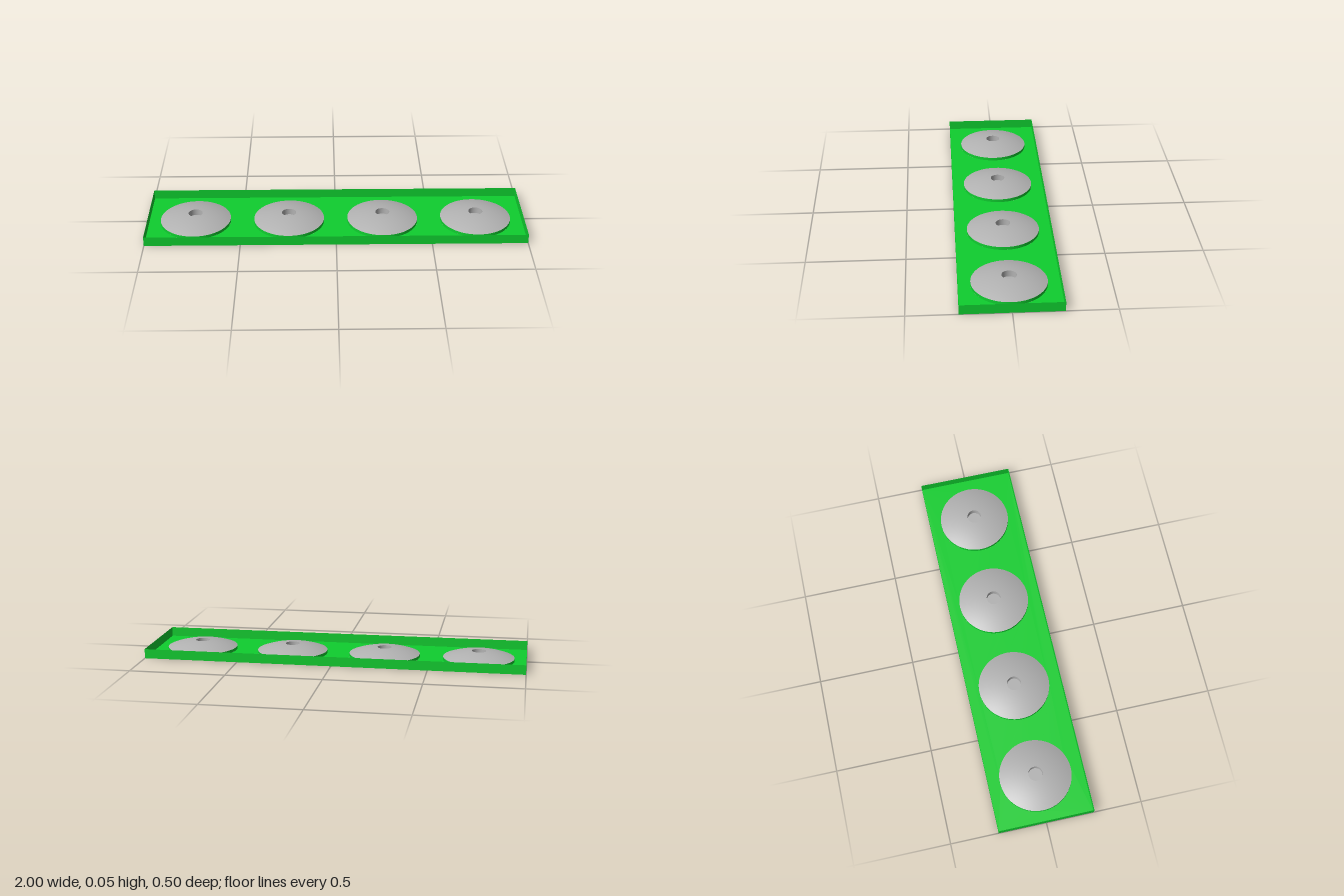
import * as THREE from 'three';

const LENGTH = 2, WIDTH = 0.5, HEIGHT = 0.05;
const DISC_R = 0.1875, RIM_Y = 0.0167, HOLE_R = 0.0375, SEG = 64;
const CENTRES = [-0.75, -0.25, 0.25, 0.75];

export function createModel() {
  const group = new THREE.Group();
  group.name = 'tray';

  const green = new THREE.MeshStandardMaterial({ color: 0x0fce2f, side: THREE.DoubleSide });
  green.name = 'green';
  const grey = new THREE.MeshStandardMaterial({ color: 0xb2b2b2, side: THREE.DoubleSide });
  grey.name = 'grey';

  const add = (name, geometry, material, x = 0, y = 0, z = 0, turn = 0) => {
    const mesh = new THREE.Mesh(geometry, material);
    mesh.name = name;
    mesh.position.set(x, y, z);
    mesh.rotation.y = turn;
    group.add(mesh);
  };

  // Thin floor with four round openings
  const floor = new THREE.Shape();
  floor.moveTo(-LENGTH / 2, -WIDTH / 2);
  floor.lineTo(LENGTH / 2, -WIDTH / 2);
  floor.lineTo(LENGTH / 2, WIDTH / 2);
  floor.lineTo(-LENGTH / 2, WIDTH / 2);
  floor.closePath();
  for (const x of CENTRES) {
    floor.holes.push(new THREE.Path().absarc(x, 0, DISC_R, 0, Math.PI * 2, true));
  }
  add('floor', new THREE.ShapeGeometry(floor, SEG).rotateX(-Math.PI / 2), green);

  // Thin walls around the open top
  const longWall = new THREE.PlaneGeometry(LENGTH, HEIGHT);
  const endWall = new THREE.PlaneGeometry(WIDTH, HEIGHT);
  add('frontWall', longWall, green, 0, HEIGHT / 2, WIDTH / 2);
  add('backWall', longWall, green, 0, HEIGHT / 2, -WIDTH / 2, Math.PI);
  add('leftWall', endWall, green, LENGTH / 2, HEIGHT / 2, 0, Math.PI / 2);
  add('rightWall', endWall, green, -LENGTH / 2, HEIGHT / 2, 0, -Math.PI / 2);

  // Shallow dome profile, from the rim up to the central well
  const R = 0.52;
  const base = HEIGHT - Math.sqrt(R * R - HOLE_R * HOLE_R);
  const profile = [];
  for (let i = 0; i <= 10; i++) {
    const r = DISC_R + (HOLE_R - DISC_R) * (i / 10);
    profile.push(new THREE.Vector2(r, base + Math.sqrt(R * R - r * r)));
  }
  const dome = new THREE.LatheGeometry(profile, SEG);
  const collarHeight = profile[0].y;
  const collar = new THREE.CylinderGeometry(DISC_R, DISC_R, collarHeight, SEG, 1, true);
  const wellHeight = HEIGHT - RIM_Y;
  const wellWall = new THREE.CylinderGeometry(HOLE_R, HOLE_R, wellHeight, SEG, 1, true);
  const wellFloor = new THREE.CircleGeometry(HOLE_R, SEG).rotateX(-Math.PI / 2);

  // Each dome sits on a raised collar and has a closed well in its middle
  for (const x of CENTRES) {
    add('collar', collar, green, x, collarHeight / 2);
    add('dome', dome, grey, x);
    add('wellWall', wellWall, grey, x, RIM_Y + wellHeight / 2);
    add('wellFloor', wellFloor, grey, x, RIM_Y);
  }

  return group;
}
